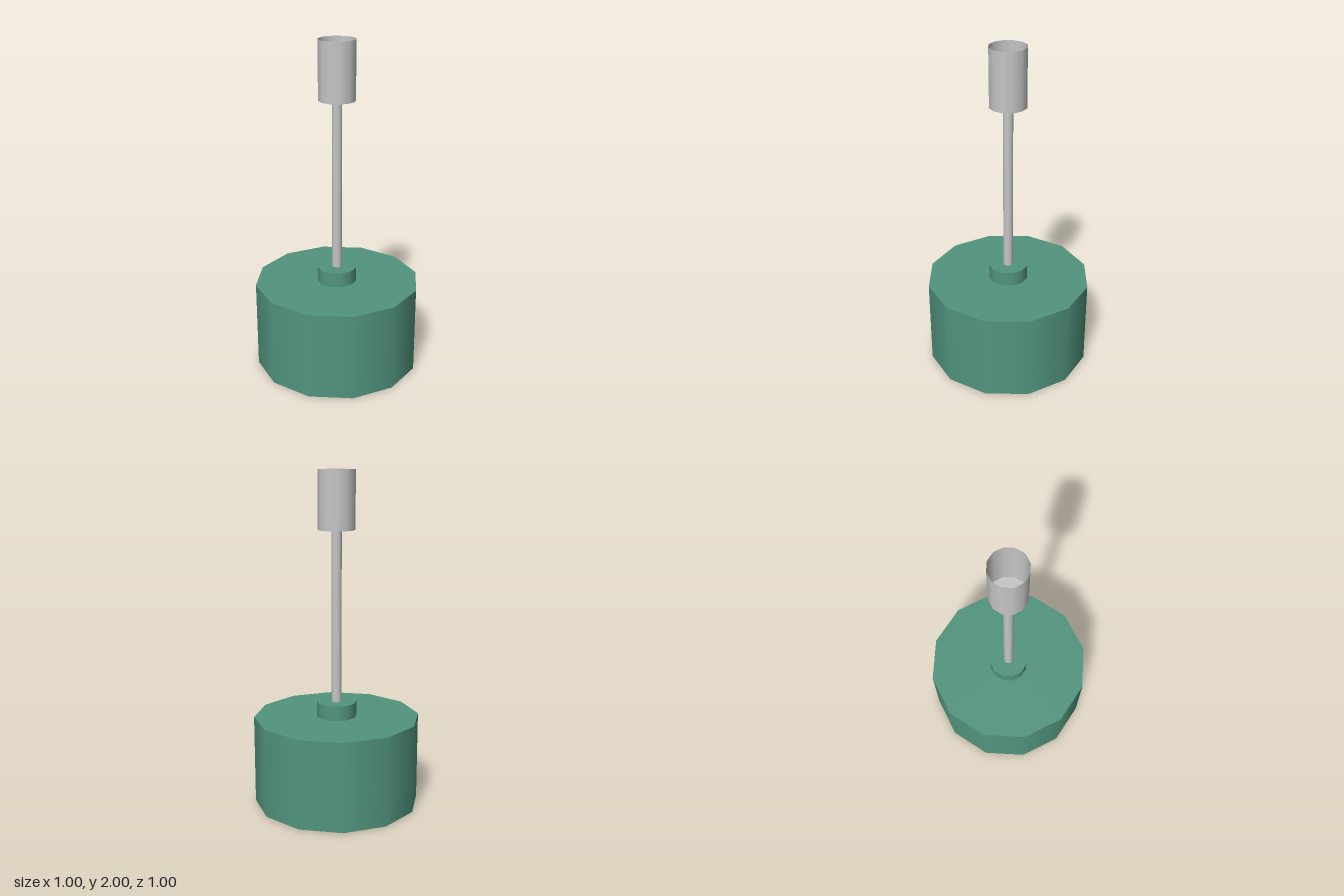
import * as THREE from 'three';

const SIDES = 12;

export function createModel() {
  const model = new THREE.Group();
  model.name = 'pendantLamp';

  const green = new THREE.MeshStandardMaterial({ color: 0x52957f });
  green.name = 'green enamel';
  const grey = new THREE.MeshStandardMaterial({ color: 0xc6c6c6, side: THREE.DoubleSide });
  grey.name = 'grey metal';

  const add = (name, geometry, material, y) => {
    const mesh = new THREE.Mesh(geometry, material);
    mesh.name = name;
    mesh.position.y = y;
    model.add(mesh);
    return mesh;
  };
  // Upright twelve-sided cylinder between two heights
  const tube = (name, radius, bottom, top, material, open) =>
    add(name, new THREE.CylinderGeometry(radius, radius, top - bottom, SIDES, 1, open),
      material, (bottom + top) / 2);

  // Closed drum shade and its collar
  tube('shade', 0.5, 0, 0.535, green, false);
  tube('collar', 0.12, 0.535, 0.625, green, false);

  // Hollow stem
  tube('stem', 0.03, 0.625, 1.655, grey, true);

  // Ceiling cup, open at the top, with a ring floor around the stem
  tube('ceilingCup', 0.11, 1.655, 2, grey, true);
  const floor = new THREE.RingGeometry(0.03, 0.11, SIDES).rotateX(-Math.PI / 2);
  add('ceilingCupFloor', floor, grey, 1.655);

  return model;
}
